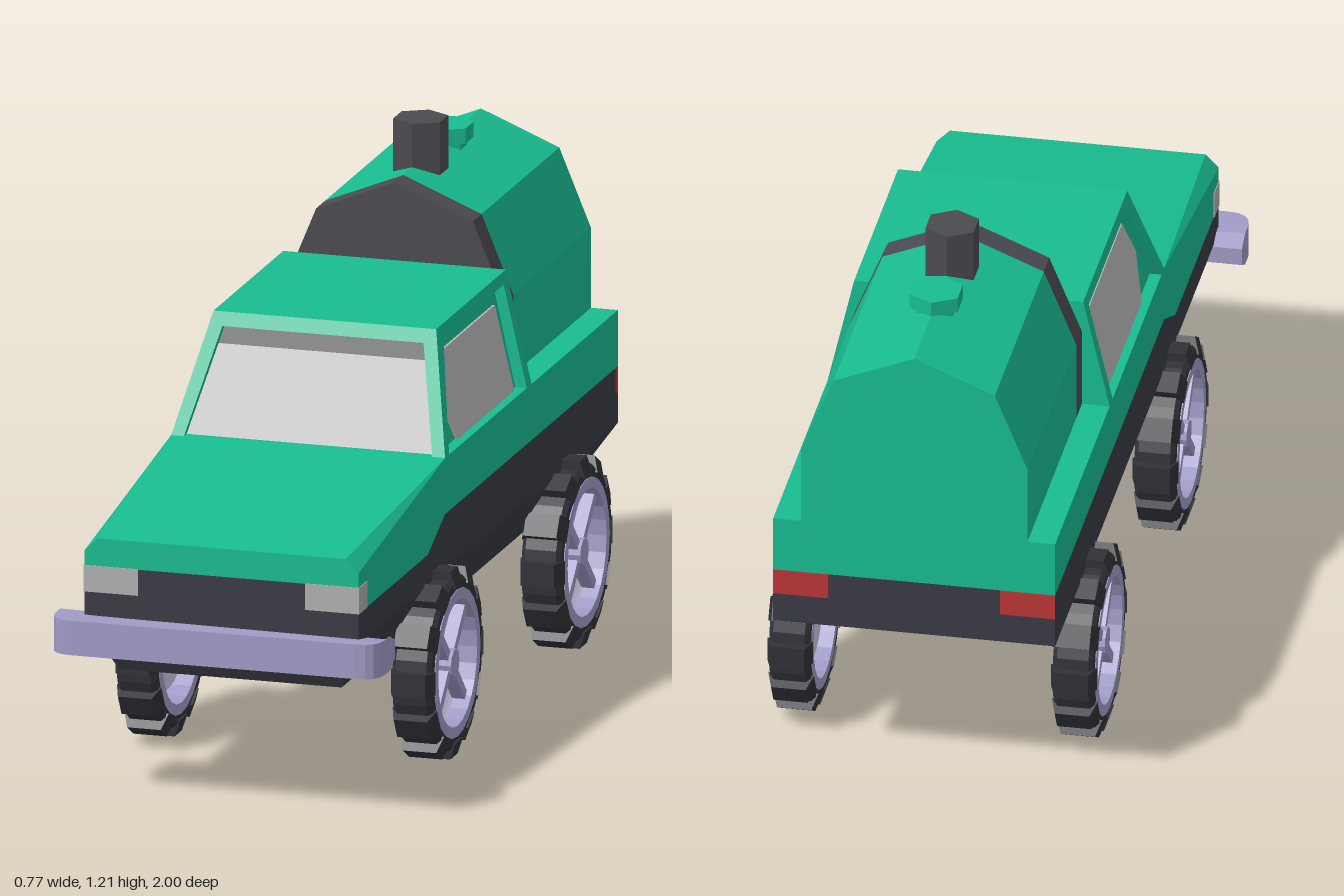
import * as THREE from 'three';
import { ConvexGeometry } from 'three/addons/geometries/ConvexGeometry.js';

const GREEN = 0x18bc90, DARK = 0x3a3b44, CHARCOAL = 0x4b4a50, RUBBER = 0x303238;
const LILAC = 0xa09cc6, PALE = 0xd0cee8, GLASS = 0xb8b8b8, LAMP = 0xb0b0b0, RED = 0xbb3535;

const material = (color) => new THREE.MeshStandardMaterial({ color, flatShading: true });

function part(parent, name, geometry, color) {
  const mesh = new THREE.Mesh(geometry, material(color));
  mesh.name = name;
  parent.add(mesh);
  return mesh;
}

function mirrored(parent, object, name) {
  const copy = object.clone();
  copy.name = name;
  copy.scale.x = -1;
  copy.position.x *= -1;
  parent.add(copy);
}

// Extrudes a polygon, then places every vertex by a rule (u, v, depth) -> [x, y, z]
function panel(points, depth, place) {
  const shape = new THREE.Shape(points.map(([u, v]) => new THREE.Vector2(u, v)));
  const geometry = new THREE.ExtrudeGeometry(shape, { depth, bevelEnabled: false });
  const p = geometry.attributes.position;
  for (let i = 0; i < p.count; i++) p.setXYZ(i, ...place(p.getX(i), p.getY(i), p.getZ(i)));
  geometry.computeVertexNormals();
  return geometry;
}

// Convex solid from corner points, each given once and mirrored in x
const hull = (corners) => new ConvexGeometry(
  corners.flatMap(([x, y, z]) => [new THREE.Vector3(x, y, z), new THREE.Vector3(-x, y, z)]));

function box(x0, x1, y0, y1, z0, z1) {
  return new THREE.BoxGeometry(x1 - x0, y1 - y0, z1 - z0)
    .translate((x0 + x1) / 2, (y0 + y1) / 2, (z0 + z1) / 2);
}

// Wheel with its axis along x, outer side facing +x
function createWheel() {
  const wheel = new THREE.Group();
  const ring = (points) => new THREE.LatheGeometry(
    points.map(([r, y]) => new THREE.Vector2(r, y)), 24).rotateZ(-Math.PI / 2);

  part(wheel, 'tire', ring([[0.165, -0.046], [0.19, -0.046], [0.2, -0.036], [0.2, 0.036],
    [0.19, 0.046], [0.165, 0.046], [0.165, -0.046]]), RUBBER);
  part(wheel, 'rim', ring([[0.145, -0.047], [0.17, -0.047], [0.17, 0.048],
    [0.145, 0.048], [0.145, -0.047]]), LILAC);
  const dish = part(wheel, 'wheelDish', ring([[0, -0.02], [0.11, -0.02], [0.147, 0.01]]), PALE);
  dish.material.side = THREE.DoubleSide;
  dish.material.flatShading = false;
  part(wheel, 'hub', new THREE.CylinderGeometry(0.032, 0.032, 0.06, 10)
    .rotateZ(Math.PI / 2).translate(0.012, 0, 0), LILAC);

  for (let i = 0; i < 4; i++) {
    const spoke = part(wheel, 'spoke', box(0.005, 0.035, 0.02, 0.15, -0.011, 0.011), LILAC);
    spoke.rotation.x = Math.PI / 4 + i * Math.PI / 2;
  }

  // Tread lugs narrow towards the ground
  const lug = box(-0.052, 0.052, 0.178, 0.217, -0.027, 0.027);
  const p = lug.attributes.position;
  for (let i = 0; i < p.count; i++) if (p.getY(i) > 0.2) p.setX(i, p.getX(i) * 0.75);
  for (let i = 0; i < 12; i++) part(wheel, 'treadLug', lug, RUBBER).rotation.x = i * Math.PI / 6;
  return wheel;
}

export function createModel() {
  const model = new THREE.Group();
  model.name = 'tankTruck';
  const across = (u, v, w) => [0.32 - w, v, u];

  // Lower body
  part(model, 'underbody', hull([
    [0.32, 0.41, 0.935], [0.32, 0.41, -1], [0.26, 0.288, 0.87], [0.26, 0.288, -0.7],
  ]), DARK);
  part(model, 'lowerBody', panel([
    [0.935, 0.41], [0.935, 0.48], [0.42, 0.48], [0.29, 0.54], [-1, 0.54], [-1, 0.41],
  ], 0.64, across), DARK);
  part(model, 'upperBody', panel([
    [0.935, 0.48], [0.42, 0.48], [0.29, 0.54], [-1, 0.54], [-1, 0.67], [0.29, 0.67], [0.935, 0.575],
  ], 0.64, across), GREEN);
  part(model, 'hood', hull([[0.32, 0.67, 0.29], [0.32, 0.575, 0.935], [0.29, 0.605, 0.935]]), GREEN);

  // Grille and lamps
  part(model, 'grille', box(-0.195, 0.195, 0.478, 0.54, 0.92, 0.937), DARK);
  const headlight = part(model, 'leftHeadlight', box(0.195, 0.322, 0.48, 0.541, 0.875, 0.937), LAMP);
  mirrored(model, headlight, 'rightHeadlight');
  const taillight = part(model, 'leftTaillight', box(0.195, 0.32, 0.48, 0.54, -1.002, -0.98), RED);
  mirrored(model, taillight, 'rightTaillight');

  // Bumper with rounded front corners and a thinner back edge
  const outline = new THREE.Shape();
  outline.moveTo(-0.385, 0.87);
  outline.lineTo(0.385, 0.87);
  outline.lineTo(0.385, 0.91);
  outline.lineTo(0.385, 0.945);
  outline.quadraticCurveTo(0.385, 1, 0.33, 1);
  outline.lineTo(-0.33, 1);
  outline.quadraticCurveTo(-0.385, 1, -0.385, 0.945);
  outline.lineTo(-0.385, 0.91);
  part(model, 'bumper', panel(outline.getPoints(4).map((q) => [q.x, q.y]), 0.08,
    (u, v, w) => [u, 0.388 - (w - 0.04) * (v < 0.88 ? 0.5 : 1), v]), LILAC);

  // Cab: recessed core with sloped frames around the windows
  const side = (inset) => (u, v, w) => [0.32 - (v - 0.67) * 0.231 - inset - w, v, u];
  const front = (inset) => (u, v, w) => [-u, v, 0.29 - (v - 0.67) * 0.481 - inset - w];
  part(model, 'cabCore', hull([
    [0.295, 0.66, 0.27], [0.295, 0.66, -0.354], [0.24, 0.91, 0.15], [0.24, 0.91, -0.354],
  ]), GREEN);
  part(model, 'roof', hull([
    [0.26, 0.93, 0.165], [0.26, 0.93, -0.355], [0.266, 0.905, 0.177], [0.266, 0.905, -0.355],
  ]), GREEN);
  const frame = part(model, 'leftDoorFrame', panel([
    [0.29, 0.67], [0.165, 0.93], [-0.355, 0.93], [-0.355, 0.67],
    [-0.32, 0.67], [-0.32, 0.905], [0.13, 0.905], [0.26, 0.67],
  ], 0.027, side(0)), GREEN);
  mirrored(model, frame, 'rightDoorFrame');
  const glass = part(model, 'leftWindow', panel([
    [0.13, 0.67], [0.18, 0.77], [0.13, 0.865], [-0.29, 0.865], [-0.29, 0.67],
  ], 0.01, side(0.02)), GLASS);
  mirrored(model, glass, 'rightWindow');
  part(model, 'windshieldFrame', panel([
    [0.32, 0.67], [0.26, 0.93], [-0.26, 0.93], [-0.32, 0.67],
    [-0.29, 0.67], [-0.235, 0.9], [0.235, 0.9], [0.29, 0.67],
  ], 0.027, front(0)), GREEN);
  part(model, 'windshield', panel(
    [[0.29, 0.67], [0.244, 0.86], [-0.244, 0.86], [-0.29, 0.67]], 0.01, front(0.02)), GLASS);
  part(model, 'sunStrip', panel(
    [[0.244, 0.86], [0.235, 0.9], [-0.235, 0.9], [-0.244, 0.86]], 0.01, front(0.02)), DARK);

  // Tank with its dark front band
  const section = [[0.257, 0.66], [0.257, 0.855], [0.183, 1.035], [0, 1.11],
    [-0.183, 1.035], [-0.257, 0.855], [-0.257, 0.66]];
  part(model, 'tank', panel(section, 0.58, (u, v, w) => [u, v, w - 1]), GREEN);
  part(model, 'tankBand', panel(section, 0.065, (u, v, w) => [u, v, w - 0.42]), CHARCOAL);

  // Stack and filler cap, both six-sided
  part(model, 'stack', new THREE.CylinderGeometry(0.063, 0.063, 0.125, 6)
    .translate(0, 1.1475, -0.55), CHARCOAL);
  part(model, 'fillerNeck', new THREE.CylinderGeometry(0.048, 0.048, 0.05, 6)
    .translate(0, 1.105, -0.74), GREEN);
  part(model, 'fillerCap', new THREE.CylinderGeometry(0.063, 0.063, 0.035, 6)
    .translate(0, 1.1275, -0.74), GREEN);

  // Wheels
  for (const [z, place] of [[0.355, 'Front'], [-0.61, 'Rear']]) {
    const wheel = createWheel();
    wheel.name = `left${place}Wheel`;
    wheel.position.set(0.322, 0.217, z);
    model.add(wheel);
    mirrored(model, wheel, `right${place}Wheel`);
  }
  return model;
}
